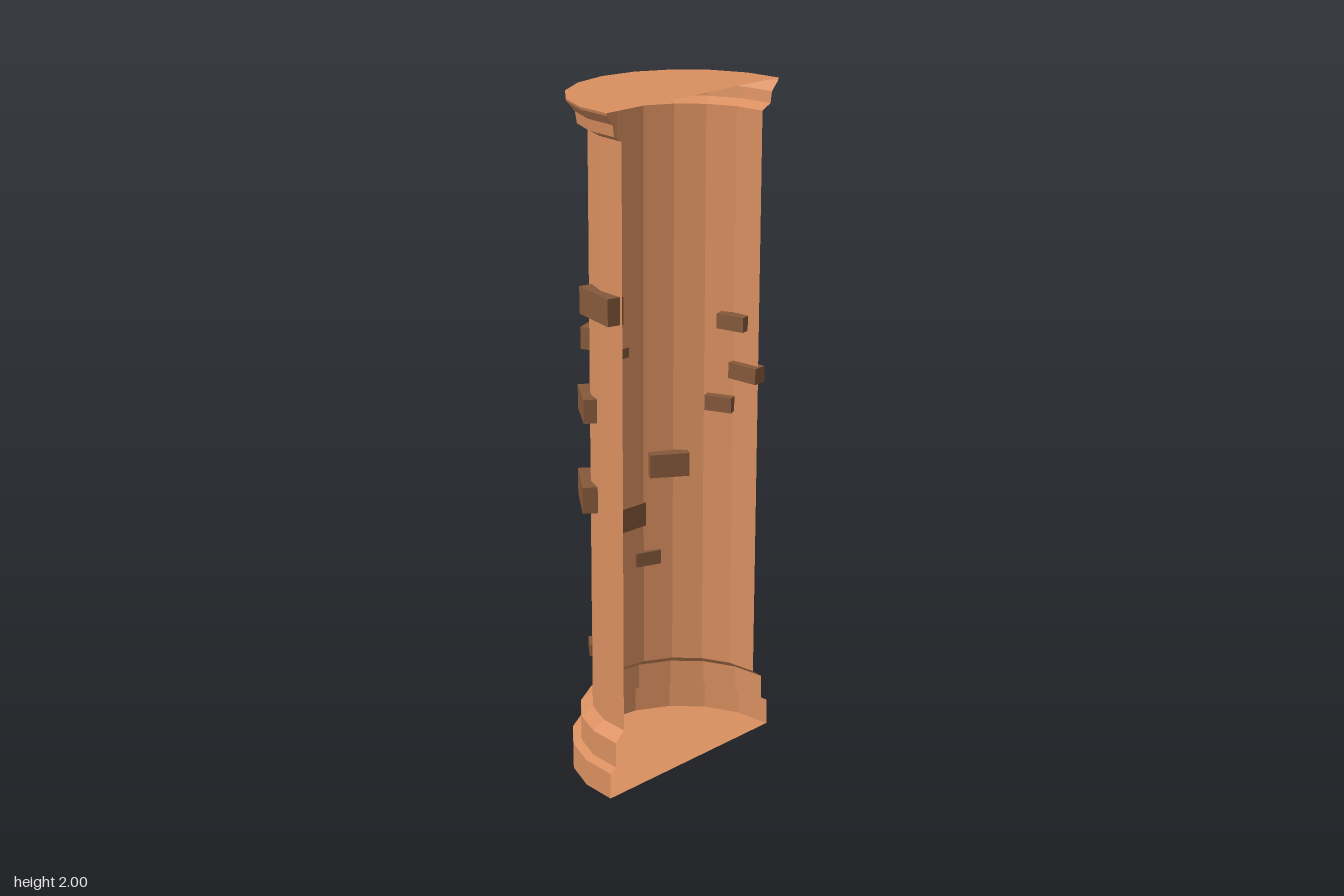
import * as THREE from 'three';

const AXIS_Z = 0.15;               // column axis, close to the open front
const STEP = (Math.PI * 2) / 19;   // 19-sided column, 10 sides remain
const SIDES = 10;

export function createModel() {
  const group = new THREE.Group();
  const clay = new THREE.MeshStandardMaterial({
    color: 0xd98f60, flatShading: true, side: THREE.DoubleSide,
  });
  const brickMat = new THREE.MeshStandardMaterial({ color: 0x85593b, flatShading: true });

  const add = (name, geometry, material, parent = group) => {
    const mesh = new THREE.Mesh(geometry, material);
    mesh.name = name;
    parent.add(mesh);
    return mesh;
  };

  // Open half shell made of stacked profile sections
  const shell = (name, points) => {
    const profile = points.map(([r, y]) => new THREE.Vector2(r, y));
    const start = Math.PI - (SIDES / 2) * STEP;
    const mesh = add(name, new THREE.LatheGeometry(profile, SIDES, start, SIDES * STEP), clay);
    mesh.position.z = AXIS_Z;
  };
  shell('base', [[0.335, 0], [0.335, 0.08], [0.31, 0.09], [0.31, 0.168], [0.275, 0.195]]);
  shell('shaft', [[0.275, 0.195], [0.275, 1.915]]);
  shell('capital', [[0.275, 1.915], [0.305, 1.932], [0.31, 1.965], [0.332, 1.992], [0.335, 2]]);

  // Flat end caps, closed along the front chord
  const outline = [];
  for (let i = 0; i <= SIDES; i++) {
    const a = (i - SIDES / 2) * STEP;
    outline.push(new THREE.Vector2(0.335 * Math.sin(a), 0.335 * Math.cos(a)));
  }
  for (const [name, y] of [['bottomCap', 0], ['topCap', 2]]) {
    const cap = add(name, new THREE.ShapeGeometry(new THREE.Shape(outline)), clay);
    cap.rotation.x = -Math.PI / 2;
    cap.position.set(0, y, AXIS_Z);
  }

  // Exposed bricks: angle from the back (degrees, + is +x), radius, y, length, height, depth
  const bricks = new THREE.Group();
  bricks.name = 'bricks';
  group.add(bricks);
  const layout = [
    [-77, 0.277, 1.45, 0.15, 0.078, 0.05],
    [-20, 0.28, 1.288, 0.125, 0.065, 0.042],
    [0, 0.278, 1.2, 0.065, 0.03, 0.028],
    [-53, 0.275, 1.13, 0.14, 0.07, 0.05],
    [-51, 0.275, 0.865, 0.16, 0.078, 0.055],
    [-49, 0.266, 0.372, 0.06, 0.036, 0.03],
    [34.5, 0.266, 0.84, 0.118, 0.072, 0.058],
    [3, 0.283, 0.684, 0.15, 0.074, 0.058],
    [21, 0.274, 0.54, 0.08, 0.044, 0.03],
    [68, 0.27, 1.035, 0.084, 0.046, 0.05],
    [86, 0.27, 1.142, 0.1, 0.048, 0.043],
    [77, 0.27, 1.29, 0.088, 0.045, 0.06],
  ];
  for (const [deg, r, y, length, height, depth] of layout) {
    const a = THREE.MathUtils.degToRad(deg);
    const brick = add('brick', new THREE.BoxGeometry(length, height, depth), brickMat, bricks);
    brick.position.set(r * Math.sin(a), y, AXIS_Z - r * Math.cos(a));
    brick.rotation.y = -a;
  }
  return group;
}
